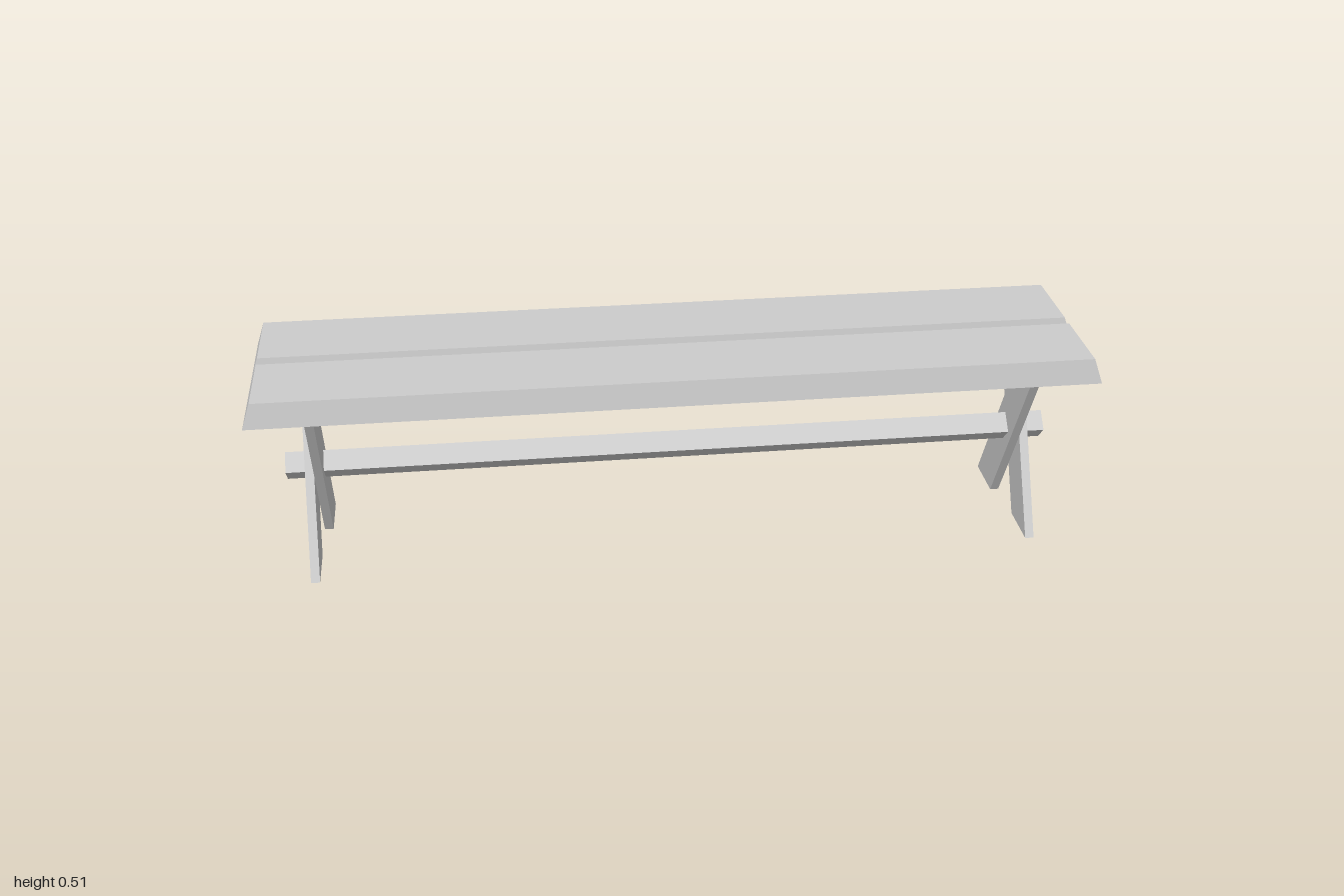
import * as THREE from 'three';

const material = new THREE.MeshStandardMaterial({ color: 0xcccccc, flatShading: true });

function addMesh(parent, name, geometry) {
  const mesh = new THREE.Mesh(geometry, material);
  mesh.name = name;
  parent.add(mesh);
  return mesh;
}

// Seat plank: a box whose upper face is drawn in on all four sides
function plankGeometry(length, height, width, inset) {
  const geometry = new THREE.BoxGeometry(length, height, width);
  const p = geometry.attributes.position;
  for (let i = 0; i < p.count; i++) {
    if (p.getY(i) > 0) {
      p.setX(i, p.getX(i) - Math.sign(p.getX(i)) * inset * 1.8);
      p.setZ(i, p.getZ(i) - Math.sign(p.getZ(i)) * inset);
    }
  }
  geometry.computeVertexNormals();
  return geometry;
}

// Slanted leg: a box sheared along z, so both ends stay level
function legGeometry(thickness, height, width, lean) {
  const geometry = new THREE.BoxGeometry(thickness, height, width);
  const p = geometry.attributes.position;
  for (let i = 0; i < p.count; i++) {
    p.setZ(i, p.getZ(i) + Math.sign(p.getY(i)) * lean);
  }
  geometry.computeVertexNormals();
  return geometry;
}

export function createModel() {
  const bench = new THREE.Group();
  bench.name = 'bench';
  const legHeight = 0.446;
  const legThickness = 0.0215;

  // Two seat planks with a narrow gap
  for (const side of [1, -1]) {
    const plank = addMesh(bench, side > 0 ? 'frontSeatPlank' : 'backSeatPlank',
      plankGeometry(2, 0.06, 0.223, 0.011));
    plank.position.set(0, legHeight + 0.03, side * 0.1175);
  }

  // A pair of crossed legs at each end, lying side by side
  for (const side of [1, -1]) {
    const trestle = new THREE.Group();
    trestle.name = side > 0 ? 'leftTrestle' : 'rightTrestle';
    bench.add(trestle);
    const outer = addMesh(trestle, 'outerLeg', legGeometry(legThickness, legHeight, 0.123, -0.1235));
    outer.position.set(side * 0.879, legHeight / 2, 0);
    const inner = addMesh(trestle, 'innerLeg', legGeometry(legThickness, legHeight, 0.123, 0.1235));
    inner.position.set(side * (0.879 - legThickness), legHeight / 2, 0);
  }

  // Square stretcher set on its corner through both crossings
  const stretcher = addMesh(bench, 'stretcher', new THREE.BoxGeometry(1.876, 0.0523, 0.0523));
  stretcher.rotation.x = Math.PI / 4;
  stretcher.position.y = legHeight / 2;

  return bench;
}
